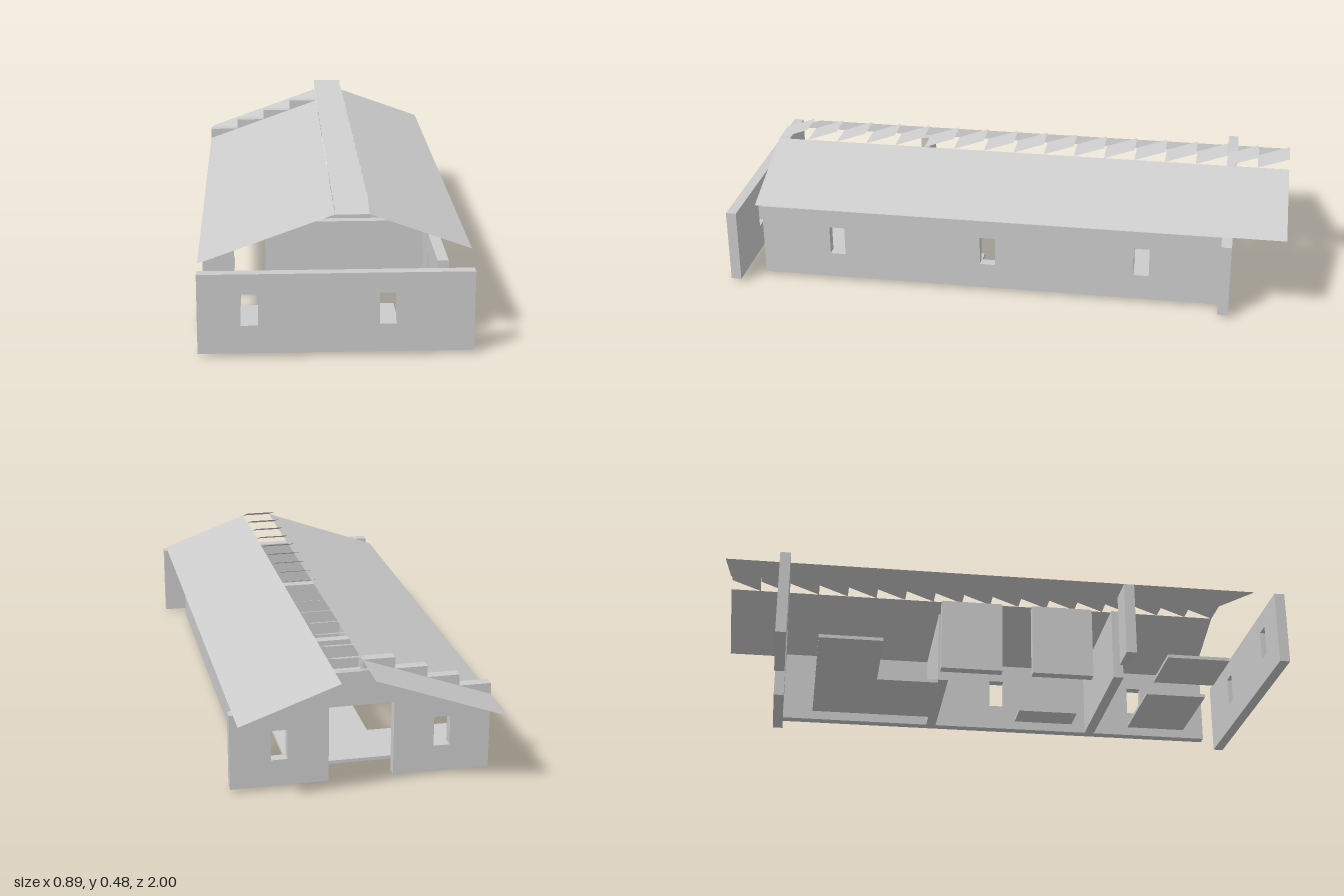
import * as THREE from 'three';

const U = 1 / 9;          // plan grid
const T = U / 3;          // wall thickness
const BASE = 0.012;       // floor slab thickness
const TOP = 0.279;        // wall height
const RISE = 0.04;        // gable step

export function createModel() {
  const model = new THREE.Group();
  const grey = new THREE.MeshStandardMaterial({ color: 0xcccccc, side: THREE.DoubleSide });
  grey.name = 'plain grey';

  const add = (name, geometry) => {
    const mesh = new THREE.Mesh(geometry, grey);
    mesh.name = name;
    model.add(mesh);
    return mesh;
  };

  // Extruded wall from an outline, with windows centred at the given positions
  const wallGeometry = (points, windows = []) => {
    const shape = new THREE.Shape(points.map(([a, b]) => new THREE.Vector2(a, b)));
    for (const c of windows) {
      const w = U / 4;
      shape.holes.push(new THREE.Path([
        [c - w, 0.106], [c - w, 0.212], [c + w, 0.212], [c + w, 0.106],
      ].map(([a, b]) => new THREE.Vector2(a, b))));
    }
    return new THREE.ExtrudeGeometry(shape, { depth: T, bevelEnabled: false });
  };
  const rect = (a, b) => [[a, BASE], [b, BASE], [b, TOP], [a, TOP]];

  // Wall across the building, back face at z
  const crossWall = (name, points, z, windows) => {
    add(name, wallGeometry(points, windows)).position.z = z;
  };
  // Wall along the building, its +x face at x
  const longWall = (name, z0, z1, x, windows) => {
    const mesh = add(name, wallGeometry(rect(z0, z1), windows));
    mesh.rotation.y = -Math.PI / 2;
    mesh.position.x = x;
  };

  // Outer walls
  crossWall('frontWall', rect(-4 * U, 4 * U), 9 * U - T, [-2.5 * U, 1.5 * U]);
  longWall('sideWall', -7 * U, 8 * U, 3 * U + T, [5.5 * U, 0.5 * U, -4.5 * U]);

  // Back wall with doorway and stepped gable
  const gable = [
    [-4 * U, BASE], [-U, BASE], [-U, TOP], [U, TOP], [U, BASE], [4 * U, BASE], [4 * U, TOP],
  ];
  for (let i = 3; i > 0; i--) {
    gable.push([i * U, TOP + (3 - i) * RISE], [i * U, TOP + (4 - i) * RISE]);
  }
  gable.push([0, TOP + 3 * RISE]);
  for (let i = 0; i < 4; i++) {
    gable.push([-i * U, TOP + (4 - i) * RISE], [-(i + 1) * U, TOP + (4 - i) * RISE]);
  }
  crossWall('backGableWall', gable, -7 * U - T, [-2.5 * U, 2.5 * U]);

  // Inner walls
  crossWall('innerCrossWallFront', rect(-2 * U, 3 * U), 4 * U - T);
  crossWall('porchWall', rect(-4 * U, -3 * U), 4 * U - T);
  crossWall('innerCrossWallBack', rect(-U, 3 * U), -2 * U);
  longWall('innerSideWallFront', U, 3 * U, -2 * U + T);
  longWall('innerSideWallBack', -2 * U, 0, -2 * U + T);

  // Floor slabs: x0, x1, z0, z1 in grid units
  [
    [-1, 2, 5, 7], [-4, -2, 5, 7], [1, 2, 1, 3], [-1, 2, -6, -2], [-4, -1, -6, -4],
  ].forEach(([x0, x1, z0, z1]) => {
    const slab = add('floorSlab', new THREE.BoxGeometry((x1 - x0) * U, BASE, (z1 - z0) * U));
    slab.position.set((x0 + x1) * U / 2, BASE / 2, (z0 + z1) * U / 2);
  });

  // Thin sheet from four corners, counter-clockwise seen from above
  const sheet = (name, corners) => {
    const g = new THREE.BufferGeometry();
    g.setAttribute('position', new THREE.Float32BufferAttribute(corners.flat(), 3));
    g.setIndex([0, 1, 2, 0, 2, 3]);
    g.computeVertexNormals();
    add(name, g);
  };
  const ridge = TOP + 4 * RISE;
  const slope = (name, x0, y0, x1, y1) => sheet(name, [
    [x0, y0, 8 * U], [x1, y1, 8 * U], [x1, y1, -9 * U], [x0, y0, -9 * U],
  ]);
  slope('rightRoof', -4 * U, TOP, 0, ridge);
  slope('leftRoof', U, ridge, 4 * U, TOP + RISE);

  // Tilted louvres over the ridge opening
  for (let i = 0; i < 17; i++) {
    const z = (8 - i) * U;
    sheet('ridgeLouvre', [
      [0, ridge, z], [U, ridge, z], [U, ridge + RISE, z - U], [0, ridge + RISE, z - U],
    ]);
  }
  return model;
}
